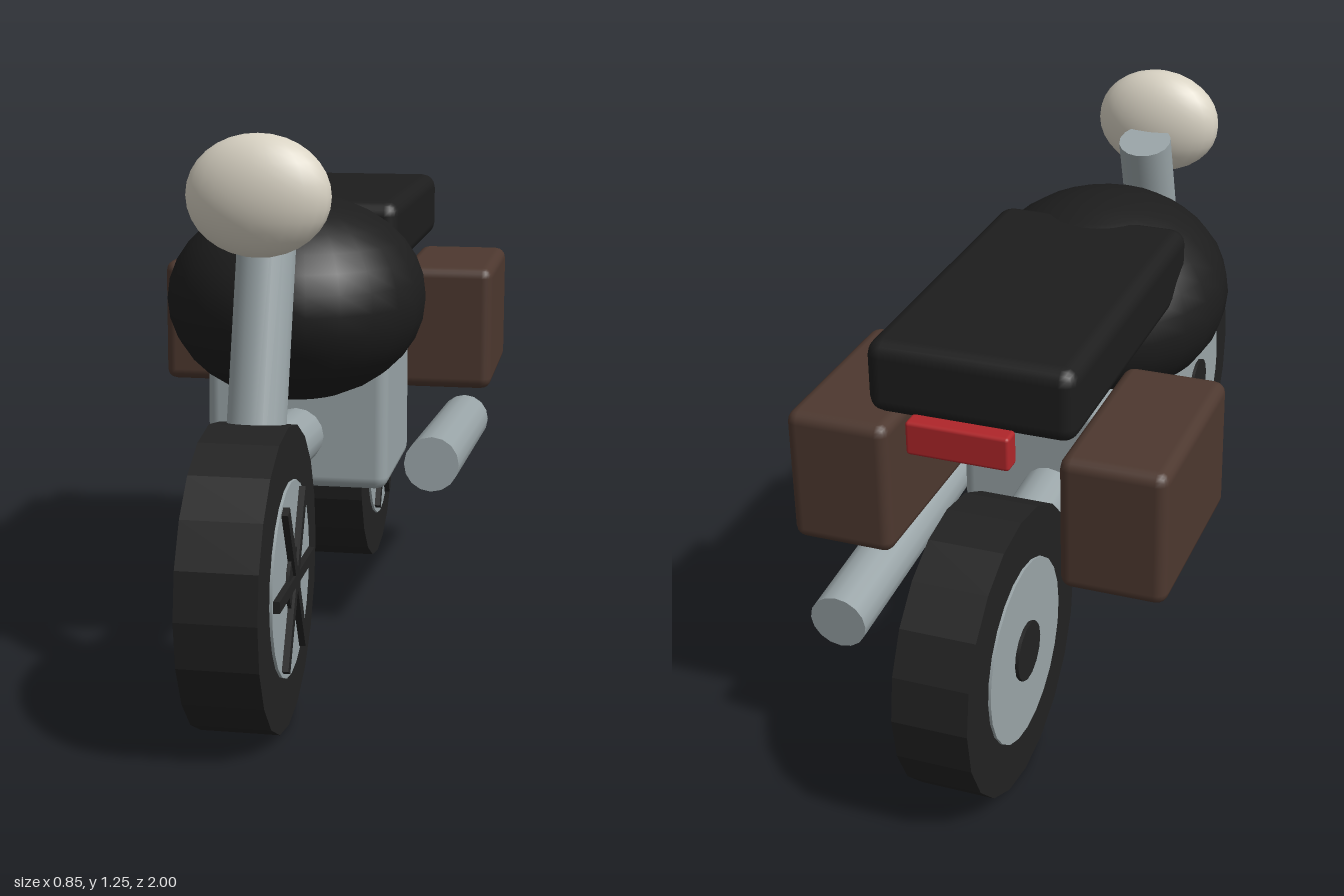
import * as THREE from 'three';
import { RoundedBoxGeometry } from 'three/addons/geometries/RoundedBoxGeometry.js';

const paint = (name, color) => {
  const m = new THREE.MeshStandardMaterial({ color });
  m.name = name;
  return m;
};

export function createModel() {
  const rubber = paint('rubber', 0x222222);
  const black = paint('blackPaint', 0x1d1d1d);
  const metal = paint('metal', 0x9aa5a8);
  const leather = paint('brownLeather', 0x4d382f);
  const cream = paint('lampCream', 0xd9d3c4);
  const red = paint('tailRed', 0xb0262a);

  const bike = new THREE.Group();
  bike.name = 'motorcycle';

  const add = (parent, name, geometry, material, x = 0, y = 0, z = 0) => {
    const mesh = new THREE.Mesh(geometry, material);
    mesh.name = name;
    mesh.position.set(x, y, z);
    parent.add(mesh);
    return mesh;
  };

  // Round bar between two points
  const bar = (name, a, b, radius) => {
    const from = new THREE.Vector3(...a), to = new THREE.Vector3(...b);
    const dir = to.clone().sub(from);
    const mid = from.clone().add(to).multiplyScalar(0.5);
    const mesh = add(bike, name, new THREE.CylinderGeometry(radius, radius, dir.length(), 16), metal, mid.x, mid.y, mid.z);
    mesh.quaternion.setFromUnitVectors(new THREE.Vector3(0, 1, 0), dir.normalize());
  };

  const ellipsoid = (name, rx, ry, rz, material, x, y, z) =>
    add(bike, name, new THREE.SphereGeometry(1, 24, 16).scale(rx, ry, rz), material, x, y, z);

  // Rounded box given by its lower and upper corners
  const block = (name, lo, hi, radius, material) => {
    const size = hi.map((v, i) => v - lo[i]);
    const mid = hi.map((v, i) => (v + lo[i]) / 2);
    add(bike, name, new RoundedBoxGeometry(...size, 2, radius), material, ...mid);
  };

  // Disc with its axle along x
  const disc = (radius, width, sides) =>
    new THREE.CylinderGeometry(radius, radius, width, sides).rotateZ(Math.PI / 2);

  // Wheels: faceted tyre, rim, hub and spokes on the left face
  const tyreGeometry = disc(0.327, 0.17, 20).toNonIndexed();
  tyreGeometry.computeVertexNormals();
  for (const [name, z] of [['frontWheel', 0.673], ['rearWheel', -0.673]]) {
    const wheel = new THREE.Group();
    wheel.name = name;
    wheel.position.set(0, 0.327, z);
    bike.add(wheel);
    add(wheel, 'tyre', tyreGeometry, rubber);
    add(wheel, 'rim', disc(0.21, 0.182, 24), metal);
    add(wheel, 'hub', disc(0.068, 0.198, 14), rubber);
    for (let i = 0; i < 3; i++) {
      const spoke = add(wheel, 'spoke', new THREE.BoxGeometry(0.02, 0.025, 0.4), rubber, 0.095);
      spoke.rotation.x = (i * Math.PI) / 3;
    }
  }

  // Fork, frame tube and exhaust
  bar('fork', [0, 0.327, 0.684], [0, 1.109, 0.445], 0.065);
  bar('frameTube', [0, 0.537, 0.56], [0, 0.468, -0.6], 0.066);
  bar('exhaust', [0.316, 0.437, 0.062], [0.316, 0.371, -0.767], 0.066);

  // Body
  ellipsoid('headlight', 0.157, 0.131, 0.083, cream, 0, 1.124, 0.563);
  ellipsoid('tank', 0.303, 0.241, 0.34, black, 0, 0.844, 0.112);
  block('engine', [-0.218, 0.382, -0.275], [0.218, 0.717, 0.13], 0.03, metal);
  block('seat', [-0.23, 0.897, -0.742], [0.23, 1.062, 0.055], 0.035, black);
  block('tailLight', [-0.113, 0.855, -0.806], [0.113, 0.931, -0.762], 0.008, red);

  // Saddlebags
  block('leftSaddlebag', [0.19, 0.552, -0.74], [0.425, 0.864, -0.283], 0.027, leather);
  block('rightSaddlebag', [-0.425, 0.552, -0.74], [-0.19, 0.864, -0.283], 0.027, leather);

  return bike;
}
